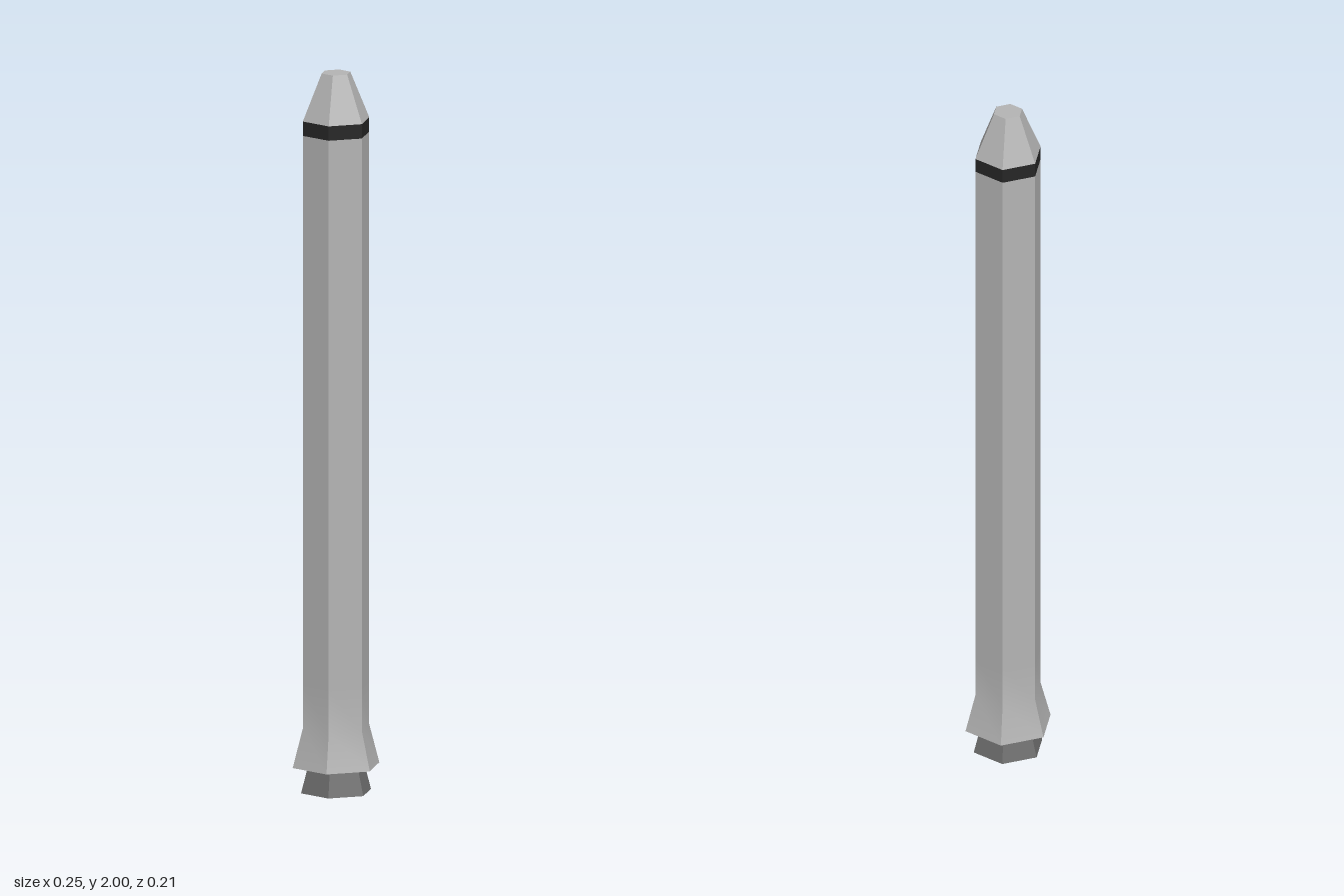
import * as THREE from 'three';
import { toCreasedNormals } from 'three/addons/utils/BufferGeometryUtils.js';

const paint = (name, color) => {
  const m = new THREE.MeshStandardMaterial({ color });
  m.name = name;
  return m;
};

// Six-sided turned part with corners on the x axis; profile is [radius, y] from the bottom up.
function hexPart(name, material, profile) {
  const points = profile.map(([r, y]) => new THREE.Vector2(r, y));
  const geometry = toCreasedNormals(new THREE.LatheGeometry(points, 6, Math.PI / 6), 0.5);
  const mesh = new THREE.Mesh(geometry, material);
  mesh.name = name;
  return mesh;
}

export function createModel() {
  const hull = paint('light grey hull', 0xb4b4b4);
  const dark = paint('black band', 0x262626);
  const metal = paint('dark grey nozzle', 0x6e6e6e);

  const rocket = new THREE.Group();
  rocket.name = 'rocket';
  rocket.add(
    // engine bell, closed underneath
    hexPart('engineNozzle', metal, [[0, 0], [0.1, 0], [0.08, 0.075]]),
    // flared skirt running into the long straight body
    hexPart('bodyAndSkirt', hull, [[0, 0.072], [0.124, 0.072], [0.095, 0.18], [0.095, 0.3], [0.095, 1.83]]),
    // band below the nose
    hexPart('noseBand', dark, [[0.095, 1.83], [0.095, 1.87]]),
    // blunt nose
    hexPart('noseCone', hull, [[0.095, 1.87], [0.041, 2], [0, 2]])
  );
  return rocket;
}
